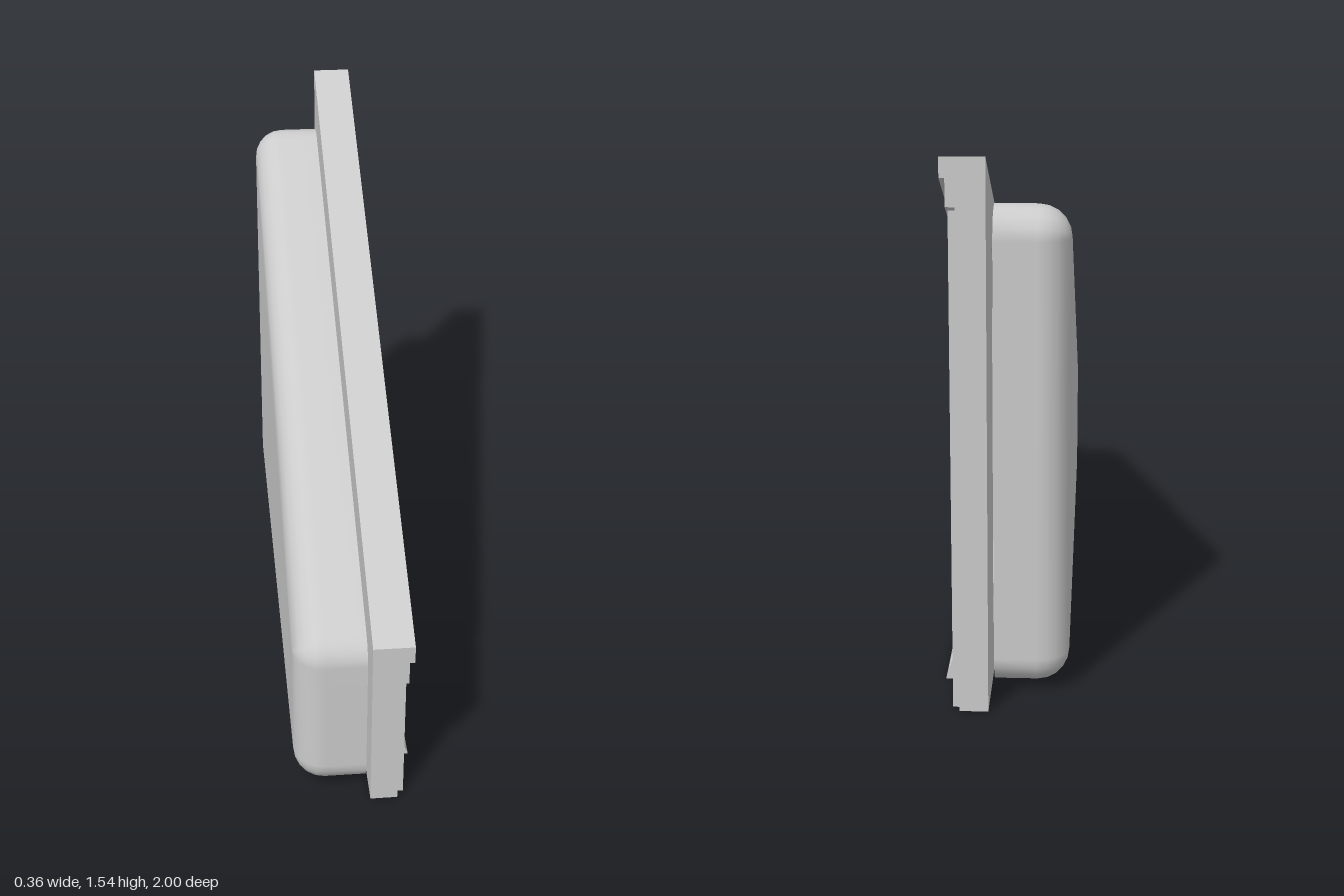
import * as THREE from 'three';

const grey = new THREE.MeshStandardMaterial({ color: 0xcccccc });
const dark = new THREE.MeshStandardMaterial({ color: 0x858885 });
const shellMat = new THREE.MeshStandardMaterial({ color: 0xcccccc, side: THREE.DoubleSide });

const SLOPE = 0.4875;
// height of the sloping top edge at z, lowered by drop
const roof = (z, drop = 0) => 1.0525 - SLOPE * z - drop;

// four [z, y] corners between two z positions; low and high are functions of z
const quad = (zFront, zBack, low, high) => [
  [zFront, low(zFront)], [zBack, low(zBack)], [zBack, high(zBack)], [zFront, high(zFront)],
];
const flat = (y) => () => y;
const under = (drop) => (z) => roof(z, drop);

// plate with a side outline in (z, y), from x0 to x1
function slab(name, x0, x1, outline, holes = [], material = grey) {
  const toPoints = (list) => list.map(([z, y]) => new THREE.Vector2(-z, y));
  const shape = new THREE.Shape(toPoints(outline));
  for (const hole of holes) shape.holes.push(new THREE.Path(toPoints(hole)));
  const geometry = new THREE.ExtrudeGeometry(shape, { depth: x1 - x0, bevelEnabled: false });
  geometry.rotateY(Math.PI / 2).translate(x0, 0, 0);
  const mesh = new THREE.Mesh(geometry, material);
  mesh.name = name;
  return mesh;
}

// lean a plate outward toward its foot, moving only vertices in front of xMin
function lean(mesh, xMin) {
  const p = mesh.geometry.attributes.position;
  for (let i = 0; i < p.count; i++) {
    if (p.getX(i) > xMin) p.setX(i, p.getX(i) + (0.115 - p.getY(i)) * 0.348);
  }
  mesh.geometry.computeVertexNormals();
  return mesh;
}

// hollow rounded pan, open toward the frame
function makeShell() {
  const r = 0.09, steps = 5;
  const zF = 0.88, zB = -0.81, yB = 0.11, yT = 1.3;
  const up = Math.atan2(1, SLOPE);
  // core corners with the start and end angles of their rounding, in (z, y)
  const corners = [
    [zF, yB, -Math.PI / 2, 0],
    [zF, yT - SLOPE * (zF - zB), 0, up],
    [zB, yT, up, Math.PI],
    [zB, yB, Math.PI, Math.PI * 1.5],
  ];
  const rings = [];
  for (let i = 0; i <= steps; i++) {
    const t = (i / steps) * Math.PI / 2;
    rings.push([-0.18 + r * (1 - Math.cos(t)), r * Math.sin(t)]);
  }
  rings.push([0.03, r]);
  const n = corners.length * (steps + 1);
  const positions = [], index = [];
  for (const [x, radius] of rings) {
    for (const [z, y, a0, a1] of corners) {
      for (let k = 0; k <= steps; k++) {
        const a = a0 + (a1 - a0) * k / steps;
        positions.push(x, y + radius * Math.sin(a), z + radius * Math.cos(a));
      }
    }
  }
  for (let j = 0; j < rings.length - 1; j++) {
    for (let k = 0; k < n; k++) {
      const a = j * n + k, b = j * n + (k + 1) % n;
      index.push(a, a + n, b, b, a + n, b + n);
    }
  }
  // flat outer panel
  const c = [0, 1, 2, 3].map((q) => q * (steps + 1));
  index.push(c[0], c[1], c[2], c[0], c[2], c[3]);
  const geometry = new THREE.BufferGeometry();
  geometry.setAttribute('position', new THREE.Float32BufferAttribute(positions, 3));
  geometry.setIndex(index);
  geometry.computeVertexNormals();
  const mesh = new THREE.Mesh(geometry, shellMat);
  mesh.name = 'shell';
  return mesh;
}

// sloping cover with two shallow pockets below a window
function makeVent(zFront, zBack) {
  const vent = new THREE.Group();
  vent.name = 'ventCover';
  const outline = quad(zFront, zBack, flat(0), flat(0.115));
  const pockets = [zFront - 0.035, zFront - 0.395].map((z) => quad(z, z - 0.3, flat(0.015), flat(0.078)));
  vent.add(lean(slab('ventBody', 0.1, 0.12, outline), 0.11));
  vent.add(lean(slab('ventFace', 0.12, 0.135, outline, pockets), 0));
  for (const pocket of pockets) vent.add(lean(slab('ventPocket', 0.119, 0.122, pocket, [], dark), 0));
  return vent;
}

export function createModel() {
  const model = new THREE.Group();
  model.name = 'slopedWindowPanel';
  const windows = [[0.82, 0.09], [-0.07, -0.8]];
  const SILL = 0.155, HEAD = 0.165;

  // wall with two openings
  const openings = windows.map(([a, b]) => quad(a, b, flat(SILL), under(HEAD)));
  model.add(slab('wall', 0.04, 0.12, quad(1, -1, flat(0), under(0.055)), openings));

  // raised stiles beside the windows
  for (const [a, b] of [[0.975, 0.86], [0.06, -0.03], [-0.83, -0.975]]) {
    model.add(slab('stile', 0.12, 0.14, quad(a, b, flat(0), under(0.13))));
  }

  // stepped rail along the slope
  model.add(slab('lowerRail', 0.12, 0.145, quad(1, -1, under(0.13), under(0.055))));
  model.add(slab('topRail', 0.04, 0.16, quad(1, -1, under(0.055), under(0))));

  // inner jambs and vent covers
  for (const [a, b] of windows) {
    for (const [j, k] of [[a, a - 0.035], [b + 0.035, b]]) {
      model.add(slab('jamb', 0.04, 0.108, quad(j, k, flat(SILL), under(HEAD))));
    }
    model.add(makeVent(a, b));
  }

  model.add(makeShell());
  return model;
}
